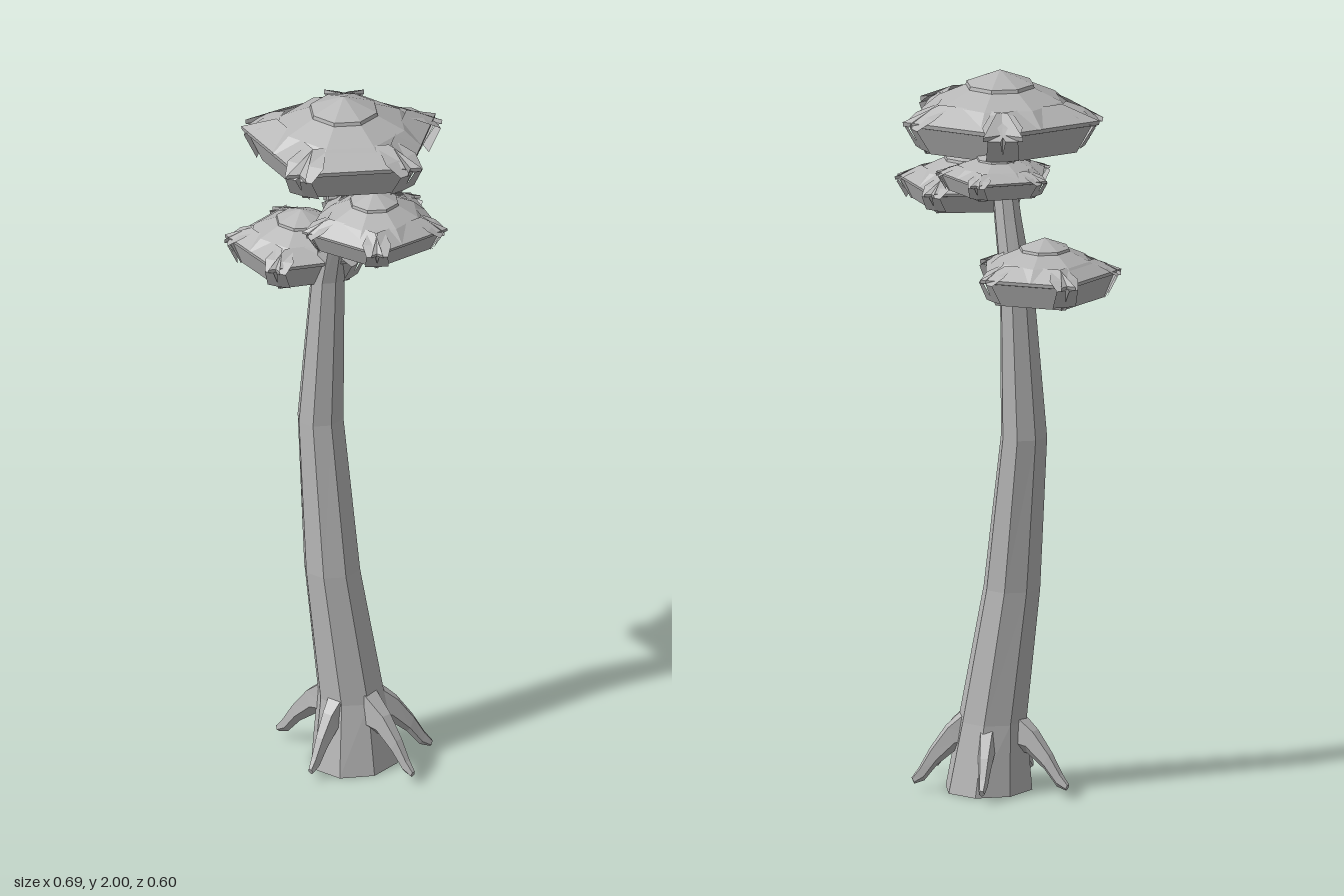
import * as THREE from 'three';

const grey = new THREE.MeshStandardMaterial({ color: 0xb6b6b6, flatShading: true, side: THREE.DoubleSide });
grey.name = 'stone grey';

const V = (x, y, z) => new THREE.Vector3(x, y, z);
const rad = THREE.MathUtils.degToRad;

function meshFrom(triangles, name) {
  const geometry = new THREE.BufferGeometry().setFromPoints(triangles);
  geometry.computeVertexNormals();
  const mesh = new THREE.Mesh(geometry, grey);
  mesh.name = name;
  return mesh;
}

// Skin a list of equal rings and close both ends
function loft(rings, name) {
  const tris = [];
  const n = rings[0].length;
  for (let i = 0; i < rings.length - 1; i++) {
    for (let j = 0; j < n; j++) {
      const k = (j + 1) % n;
      const [a, b, c, d] = [rings[i][j], rings[i][k], rings[i + 1][k], rings[i + 1][j]];
      tris.push(a, d, b, b, d, c);
    }
  }
  const end = rings[rings.length - 1];
  for (let j = 1; j < n - 1; j++) {
    tris.push(rings[0][0], rings[0][j], rings[0][j + 1]);
    tris.push(end[0], end[j + 1], end[j]);
  }
  return meshFrom(tris, name);
}

function ring(n, place) {
  return Array.from({ length: n }, (_, j) => place((j + 0.5) / n * Math.PI * 2));
}

// Bent, tapering trunk: height, centre x, centre z, radius x, radius z
function makeTrunk() {
  const sections = [
    [0.005, 0.056, 0, 0.117, 0.131],
    [0.2, 0.04, -0.005, 0.094, 0.094],
    [0.57, -0.01, 0.015, 0.078, 0.08],
    [1.0, -0.062, 0, 0.063, 0.068],
    [1.42, -0.05, -0.016, 0.046, 0.05],
    [1.6, -0.015, -0.01, 0.038, 0.038],
    [1.84, 0.025, 0, 0.03, 0.028],
  ];
  return loft(sections.map(([y, x, z, rx, rz]) =>
    ring(8, a => V(x + rx * Math.cos(a), y, z + rz * Math.sin(a)))), 'trunk');
}

// Root running outwards along +x and down to the ground
function makeRoot(angle, length) {
  const sections = [
    [0.05, 0.175, 0.065, 0.04], [0.12, 0.15, 0.036, 0.026],
    [0.17, 0.1, 0.025, 0.019], [0.205, 0.052, 0.019, 0.013], [0.23, 0.034, 0.009, 0.008],
  ];
  const root = loft(sections.map(([x, y, h, w]) =>
    ring(5, a => V(x * length + h * 0.4 * Math.cos(a), y + h * Math.cos(a), -w * Math.sin(a)))), 'root');
  root.position.set(0.05, 0, 0.008);
  root.rotation.y = -angle;
  return root;
}

// Bent plate along one side of a canopy; each row is [out, height, half width]
function strip(rows, name) {
  const tris = [];
  for (let i = 0; i < rows.length - 1; i++) {
    const [x0, y0, w0] = rows[i], [x1, y1, w1] = rows[i + 1];
    const a = V(x0, y0, w0), b = V(x0, y0, -w0), c = V(x1, y1, -w1), d = V(x1, y1, w1);
    tris.push(a, d, b, b, d, c);
  }
  return meshFrom(tris, name);
}

// Five-sided canopy: faceted dome, overlapping side plates and crossing corner leaves
function makeCanopy({ at, r, bottom, rim, top, sides }) {
  const canopy = new THREE.Group();
  canopy.name = 'canopy';
  canopy.position.set(at[0], 0, at[1]);
  const h = top - rim;
  const drop = rim - bottom;

  const dome = new THREE.Mesh(new THREE.LatheGeometry([
    new THREE.Vector2(0.82 * r, rim), new THREE.Vector2(0.64 * r, rim + 0.34 * h),
    new THREE.Vector2(0.36 * r, rim + 0.62 * h), new THREE.Vector2(0.35 * r, rim + 0.7 * h),
    new THREE.Vector2(0, top),
  ], 8), grey);
  dome.name = 'dome';
  dome.rotation.y = Math.PI / 8;
  canopy.add(dome);

  const out = r * Math.cos(Math.PI / 5);
  const half = r * Math.sin(Math.PI / 5);
  const w = r * 0.13;
  sides.forEach((angle, i) => {
    // Side plate with a thin lip, overshooting its neighbours at the rim
    const side = strip([
      [out * 0.7, rim + 0.36 * h, half * 0.66], [out, rim, half * 1.17],
      [out * 0.99, rim - 0.13 * drop, half * 1.17], [out * 0.95, rim - 0.16 * drop, half * 1.05],
      [out * 0.82, bottom, half * 0.86],
    ], 'sidePlate');
    side.rotation.y = -rad(angle);
    canopy.add(side);

    // Two leaf tips crossing at the corner after this side
    const next = i < 4 ? sides[i + 1] : sides[0] + 360;
    for (const turn of [-1, 1]) {
      const leaf = strip([
        [r * 0.66, rim + 0.3 * h, w * 0.5], [r * 0.86, rim + 0.12 * h, w],
        [r * 1.02, rim - 0.15 * drop, w * 0.5], [r * 0.88, bottom + 0.15 * drop, w * 0.7],
      ], 'cornerLeaf');
      leaf.rotation.y = -rad((angle + next) / 2 + turn * 5);
      canopy.add(leaf);
    }
  });
  return canopy;
}

export function createModel() {
  const tree = new THREE.Group();
  tree.name = 'tree';
  tree.add(makeTrunk());
  const roots = [[90, 0.76], [4, 0.98], [174, 1.02], [-48, 0.95], [-118, 0.83]];
  for (const [angle, length] of roots) tree.add(makeRoot(rad(angle), length));

  // Directions of the five sides of each canopy, in degrees
  const canopies = [
    { at: [0.03, 0.015], r: 0.266, bottom: 1.79, rim: 1.88, top: 2.0, sides: [-27, 44, 113, 202, 261] },
    { at: [0.155, 0.04], r: 0.19, bottom: 1.61, rim: 1.67, top: 1.765, sides: [13, 85, 157, 229, 301] },
    { at: [-0.075, -0.14], r: 0.155, bottom: 1.71, rim: 1.76, top: 1.82, sides: [2, 74, 146, 218, 290] },
    { at: [-0.165, -0.045], r: 0.195, bottom: 1.41, rim: 1.485, top: 1.575, sides: [36, 108, 180, 250, 324] },
  ];
  for (const c of canopies) tree.add(makeCanopy(c));
  return tree;
}
